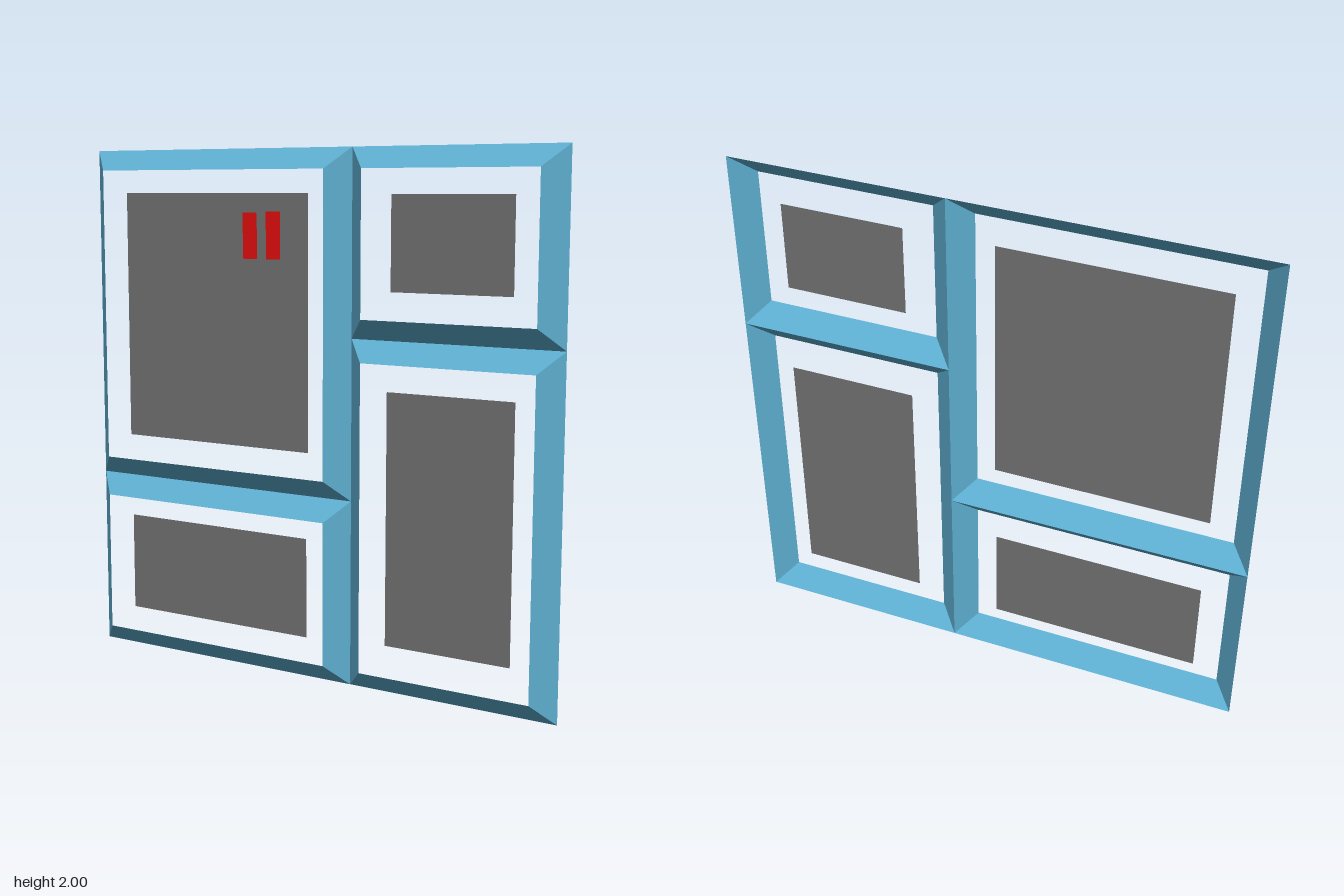
import * as THREE from 'three';

const DEPTH = 0.037; // half depth of the frames
const INSET = 0.078; // bevel width seen from the front

const material = (name, color) => {
  const m = new THREE.MeshStandardMaterial({ color, side: THREE.DoubleSide });
  m.name = name;
  return m;
};

// Open bevelled frame: outer rectangle at the back, inner rectangle at the front
function frameGeometry(x0, x1, y0, y1) {
  const loop = (i, z) => [
    [x0 + i, y0 + i, z], [x1 - i, y0 + i, z],
    [x1 - i, y1 - i, z], [x0 + i, y1 - i, z],
  ];
  const outer = loop(0, -DEPTH);
  const inner = loop(INSET, DEPTH);
  const points = [];
  for (let i = 0; i < 4; i++) {
    const j = (i + 1) % 4;
    points.push(outer[i], outer[j], inner[j], outer[i], inner[j], inner[i]);
  }
  const geometry = new THREE.BufferGeometry();
  geometry.setAttribute('position', new THREE.Float32BufferAttribute(points.flat(), 3));
  geometry.computeVertexNormals();
  return geometry;
}

// Flat rectangle facing the front
function plate(name, [x0, x1, y0, y1], z, mat) {
  const mesh = new THREE.Mesh(new THREE.PlaneGeometry(x1 - x0, y1 - y0), mat);
  mesh.position.set((x0 + x1) / 2, (y0 + y1) / 2, z);
  mesh.name = name;
  return mesh;
}

export function createModel() {
  const blue = material('frame blue', 0x5dadcf);
  const grey = material('panel grey', 0x6e6e6e);
  const red = material('marker red', 0xdb0e0e);
  const model = new THREE.Group();
  model.name = 'panelledWindow';

  // Four cells, each with a bevelled frame and a floating panel: [x0, x1, y0, y1]
  const cells = [
    { name: 'upperRight', frame: [-1, 0.165, 0.705, 2], panel: [-0.835, 0, 0.877, 1.835] },
    { name: 'lowerRight', frame: [-1, 0.165, 0, 0.705], panel: [-0.83, -0.007, 0.165, 0.548] },
    { name: 'upperLeft', frame: [0.165, 1, 1.31, 2], panel: [0.345, 0.82, 1.488, 1.832] },
    { name: 'lowerLeft', frame: [0.165, 1, 0, 1.31], panel: [0.333, 0.833, 0.188, 1.13] },
  ];
  for (const { name, frame, panel } of cells) {
    const mesh = new THREE.Mesh(frameGeometry(...frame), blue);
    mesh.name = name + 'Frame';
    model.add(mesh, plate(name + 'Panel', panel, 0, grey));
  }

  // Two upright markers in front of the largest panel
  model.add(
    plate('outerMarker', [-0.28, -0.217, 1.592, 1.763], 0.01, red),
    plate('innerMarker', [-0.177, -0.115, 1.592, 1.768], 0.01, red),
  );
  return model;
}
